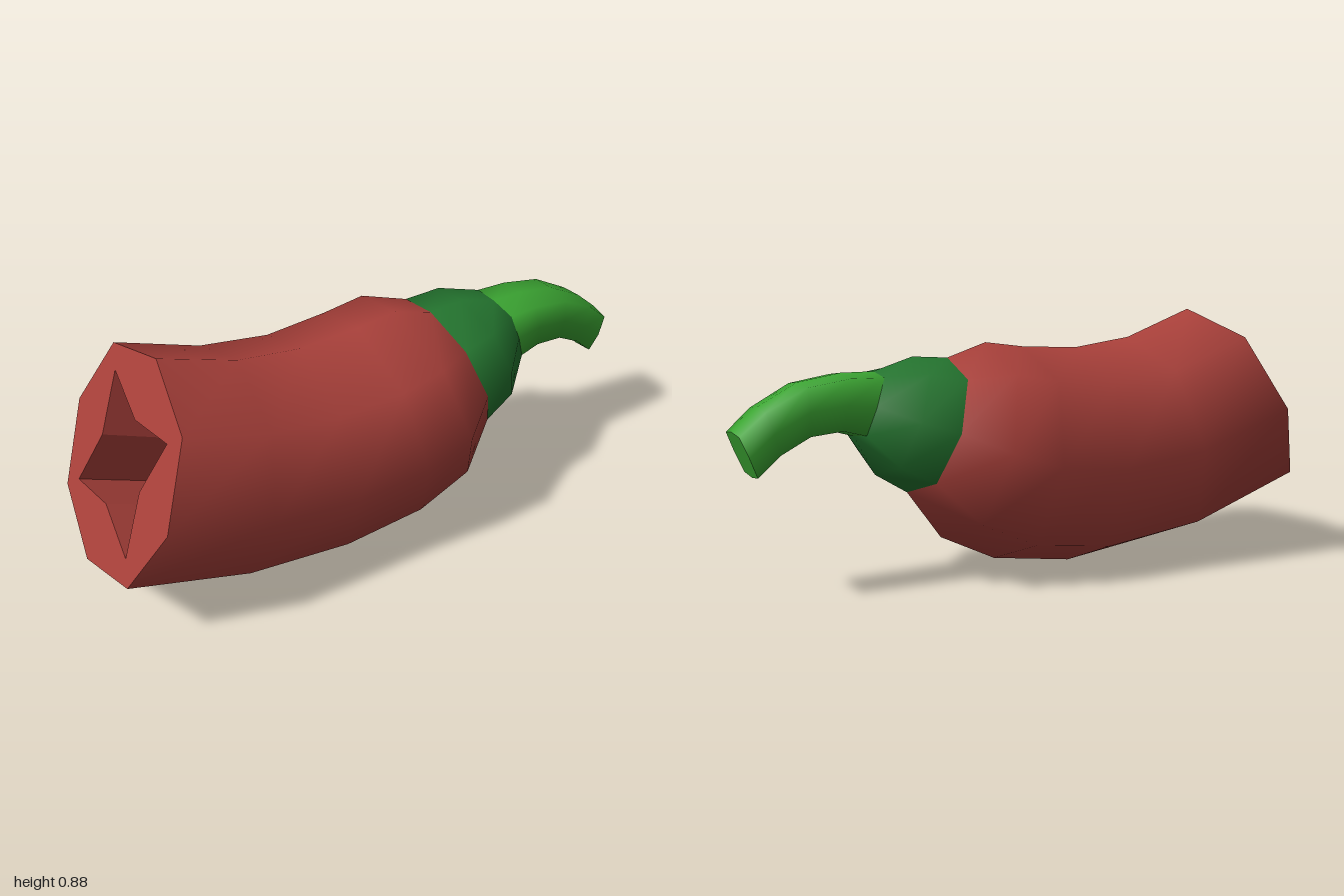
import * as THREE from 'three';

// Section: [topX, topY, bottomX, bottomY, halfWidth, diagonal fullness]
const bodyRings = [
  [-0.69, 0.88, -1.0, 0.205, 0.382, 0.73],
  [-0.43, 0.785, -0.57, 0.055, 0.37, 0.73],
  [-0.21, 0.755, -0.185, 0.004, 0.36, 0.73],
  [0.0, 0.765, 0.11, 0.045, 0.37, 0.73],
  [0.14, 0.783, 0.31, 0.14, 0.36, 0.73],
  [0.28, 0.737, 0.43, 0.303, 0.256, 0.74],
];
const calyxRings = [
  bodyRings[5],
  [0.405, 0.745, 0.54, 0.37, 0.222, 0.76],
  [0.54, 0.703, 0.61, 0.5, 0.115, 0.88],
];
const stemRings = [
  calyxRings[2],
  [0.65, 0.703, 0.68, 0.52, 0.108, 0.88],
  [0.79, 0.68, 0.78, 0.51, 0.1, 0.88],
  [0.92, 0.61, 0.87, 0.46, 0.091, 0.88],
  [1.0, 0.54, 0.94, 0.395, 0.082, 0.88],
];

// Eight unit points around a section: [across, up], starting at the top
const outline = (axis, diagonal) => Array.from({ length: 8 }, (_, i) => {
  const a = (i * Math.PI) / 4;
  const r = i % 2 ? diagonal * Math.SQRT2 : axis;
  return [Math.sin(a) * r, Math.cos(a) * r];
});

function frame([tx, ty, bx, by, width]) {
  return {
    centre: new THREE.Vector3((tx + bx) / 2, (ty + by) / 2, 0),
    up: new THREE.Vector3((tx - bx) / 2, (ty - by) / 2, 0),
    width,
  };
}

function ringPoints(ring) {
  const { centre, up, width } = frame(ring);
  return outline(1, ring[5]).map(([s, c]) =>
    centre.clone().addScaledVector(up, c).add(new THREE.Vector3(0, 0, s * width)));
}

// Skin over closed loops of equal size
function loft(loops, inward = false) {
  const n = loops[0].length;
  const index = [];
  for (let j = 0; j < loops.length - 1; j++) {
    for (let i = 0; i < n; i++) {
      const a = j * n + i, b = j * n + ((i + 1) % n), c = a + n, d = b + n;
      if (inward) index.push(a, c, b, b, c, d);
      else index.push(a, b, c, b, d, c);
    }
  }
  const geometry = new THREE.BufferGeometry().setFromPoints(loops.flat());
  geometry.setIndex(index);
  geometry.computeVertexNormals();
  return geometry;
}

// Flat plate in a section's plane; side is 1 for the open end, -1 for the stem tip
function plate(ring, points, side, hole) {
  const { centre, up, width } = frame(ring);
  const flat = (list) => list.map(([s, c]) => new THREE.Vector2(side * s * width, c * up.length()));
  const shape = new THREE.Shape(flat(points));
  if (hole) shape.holes.push(new THREE.Path(flat(hole)));
  const across = new THREE.Vector3(0, 0, side);
  const upDir = up.clone().normalize();
  const normal = across.clone().cross(upDir);
  const matrix = new THREE.Matrix4().makeBasis(across, upDir, normal).setPosition(centre);
  return new THREE.ShapeGeometry(shape).applyMatrix4(matrix);
}

export function createModel() {
  const group = new THREE.Group();
  const material = (name, color) => {
    const m = new THREE.MeshStandardMaterial({ color });
    m.name = name;
    return m;
  };
  const red = material('pepper red', 0xa8403a);
  const dark = material('calyx green', 0x24752f);
  const bright = material('stem green', 0x3ba432);
  const add = (name, geometry, mat) => {
    const mesh = new THREE.Mesh(geometry, mat);
    mesh.name = name;
    group.add(mesh);
  };

  // Curved outer skins
  add('body', loft(bodyRings.map(ringPoints)), red);
  add('calyx', loft(calyxRings.map(ringPoints)), dark);
  add('stem', loft(stemRings.map(ringPoints)), bright);
  add('stemTip', plate(stemRings[4], outline(1, 0.88), -1), bright);

  // Cut end with a four-pointed hollow
  const star = outline(0.42, 0.56);
  const mouth = bodyRings[0];
  add('cutFace', plate(mouth, outline(1, 0.73), 1, star), red);

  const { centre, up, width } = frame(mouth);
  const inward = new THREE.Vector3(up.y, -up.x, 0).normalize().multiplyScalar(0.5);
  const starLoop = star.map(([s, c]) =>
    centre.clone().addScaledVector(up, c).add(new THREE.Vector3(0, 0, s * width)));
  const walls = loft([starLoop, starLoop.map((p) => p.clone().add(inward))], true).toNonIndexed();
  walls.computeVertexNormals();
  add('hollowWalls', walls, red);
  add('hollowFloor', plate(mouth, star, 1).translate(inward.x, inward.y, 0), red);

  return group;
}
